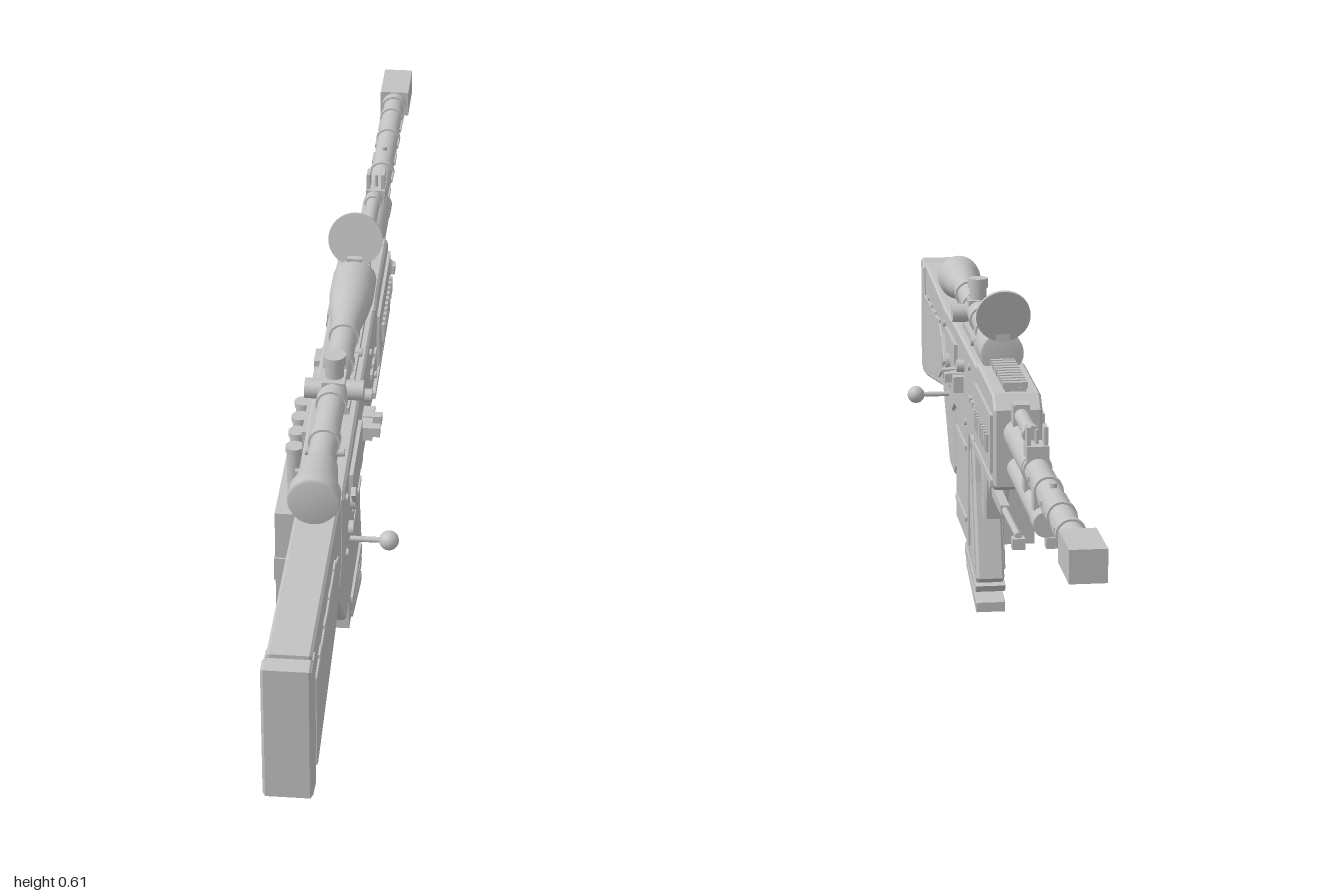
import * as THREE from 'three';

const metal = new THREE.MeshStandardMaterial({ color: 0xc2c2c2 });
metal.name = 'plain grey';

export function createModel() {
  const root = new THREE.Group();
  root.name = 'scopedRifle';
  const gun = new THREE.Group();
  gun.name = 'rifle';
  gun.position.x = -0.0125;
  root.add(gun);

  const add = (name, geo, x = 0, y = 0, z = 0) => {
    const m = new THREE.Mesh(geo, metal);
    m.name = name;
    m.position.set(x, y, z);
    gun.add(m);
    return m;
  };
  // box given by its centre x, width and its y and z ranges
  const box = (name, x, w, y0, y1, z0, z1) =>
    add(name, new THREE.BoxGeometry(w, y1 - y0, Math.abs(z1 - z0)), x, (y0 + y1) / 2, (z0 + z1) / 2);
  // side outline of [z, y] points, extruded across x
  const slab = (name, pts, w, x = 0, bevel = 0.004) => {
    const shape = new THREE.Shape(pts.map(([z, y]) => new THREE.Vector2(z, y)));
    const geo = new THREE.ExtrudeGeometry(shape, {
      depth: w - 2 * bevel, bevelEnabled: bevel > 0, bevelSize: bevel, bevelOffset: -bevel,
      bevelThickness: bevel, bevelSegments: 1,
    });
    geo.translate(0, 0, -(w - 2 * bevel) / 2);
    geo.rotateY(-Math.PI / 2);
    return add(name, geo, x);
  };
  // cylinders along each axis
  const rodZ = (name, x, y, z0, z1, r, r2 = r, n = 20) =>
    add(name, new THREE.CylinderGeometry(r, r2, Math.abs(z1 - z0), n).rotateX(Math.PI / 2), x, y, (z0 + z1) / 2);
  const rodX = (name, x0, x1, y, z, r, n = 16) =>
    add(name, new THREE.CylinderGeometry(r, r, Math.abs(x1 - x0), n).rotateZ(Math.PI / 2), (x0 + x1) / 2, y, z);
  const rodY = (name, x, y0, y1, z, r, n = 16) =>
    add(name, new THREE.CylinderGeometry(r, r, y1 - y0, n), x, (y0 + y1) / 2, z);

  // stock and butt pad
  slab('stock', [[0.96, 0.46], [0.9, 0.458], [0.6, 0.447], [0.53, 0.44], [0.53, 0.30], [0.58, 0.29],
    [0.66, 0.28], [0.95, 0.232], [0.965, 0.24]], 0.064);
  slab('buttPad', [[0.975, 0.465], [1, 0.462], [1, 0.245], [0.955, 0.236], [0.955, 0.45]], 0.071);
  box('buttPlate', 0, 0.068, 0.25, 0.453, 0.94, 0.957);
  for (const s of [-1, 1]) {
    slab('stockPanel', [[0.93, 0.40], [0.66, 0.405], [0.60, 0.38], [0.60, 0.32], [0.66, 0.295], [0.93, 0.25]],
      0.006, s * 0.0325, 0.001);
    for (let i = 0; i < 4; i++) box('stockNotch', s * 0.032, 0.006, 0.402, 0.408, 0.65 + i * 0.07, 0.675 + i * 0.07);
  }

  // receiver, lower frame and handguard
  slab('receiver', [[0.54, 0.44], [0.525, 0.455], [0.33, 0.462], [-0.02, 0.462], [-0.02, 0.315],
    [0.36, 0.312], [0.40, 0.29], [0.54, 0.305]], 0.074);
  slab('lowerFrame', [[0.6, 0.30], [0.575, 0.27], [0.485, 0.182], [0.475, 0.175], [0.40, 0.172],
    [0.38, 0.19], [0.38, 0.33], [0.54, 0.33]], 0.066);
  box('frameFoot', 0, 0.04, 0.16, 0.176, 0.41, 0.465);
  slab('handguard', [[0, 0.462], [-0.03, 0.476], [-0.235, 0.472], [-0.26, 0.45], [-0.26, 0.325],
    [-0.24, 0.315], [0, 0.315]], 0.078);
  box('upperCover', 0, 0.05, 0.455, 0.474, 0.0, 0.33);
  for (const s of [-1, 1]) {
    box('handguardPanel', s * 0.04, 0.008, 0.345, 0.44, -0.25, -0.02);
    box('lowerRail', s * 0.038, 0.01, 0.322, 0.334, -0.25, 0.05);
    for (let i = 0; i < 10; i++) box('ventRib', s * 0.044, 0.01, 0.374, 0.404, -0.055 - i * 0.018, -0.065 - i * 0.018);
    for (const z of [0.0, 0.035, 0.07]) box('slotPlate', s * 0.038, 0.006, 0.385, 0.393, z, z + 0.022);
    for (const [z, y] of [[0.515, 0.43], [0.515, 0.33], [0.41, 0.34], [0.1, 0.44], [0.16, 0.33], [-0.0, 0.34]])
      rodX('pin', s * 0.034, s * 0.041, y, z, 0.006, 10);
  }
  // right-of-picture controls on the left (+x) side
  rodX('selectorHub', 0.035, 0.046, 0.375, 0.435, 0.016);
  slab('selectorLever', [[0.47, 0.42], [0.48, 0.41], [0.44, 0.368], [0.425, 0.378]], 0.008, 0.045, 0.001);
  rodX('button', 0.035, 0.045, 0.345, 0.47, 0.012);
  box('boltCover', 0.038, 0.01, 0.40, 0.435, 0.3, 0.46);
  rodX('boltKnob', 0.035, 0.05, 0.42, 0.2, 0.011);
  box('releaseBlock', 0.045, 0.02, 0.372, 0.4, 0.2, 0.26);
  for (const z of [0.23, 0.265]) box('releaseTab', 0.052, 0.032, 0.386, 0.402, z - 0.01, z + 0.006);
  rodX('chargingRod', 0.03, 0.085, 0.312, 0.45, 0.0045, 12);
  add('chargingKnob', new THREE.SphereGeometry(0.0155, 20, 14), 0.0975, 0.312, 0.45);

  // ammunition box and its strap
  box('ammoBox', -0.0285, 0.117, 0.098, 0.311, 0.19, 0.39);
  box('ammoBoxStrap', -0.06, 0.058, 0.188, 0.228, 0.188, 0.393);
  for (const y of [0.14, 0.27]) box('ammoBoxRib', 0.031, 0.006, y - 0.004, y + 0.004, 0.21, 0.37);

  // spare cartridges on the other side
  box('cartridgeHolder', -0.045, 0.024, 0.335, 0.375, 0.19, 0.365);
  for (let i = 0; i < 4; i++) {
    const z = 0.21 + i * 0.045;
    rodY('cartridge', -0.059, 0.325, 0.4, z, 0.0125);
    rodY('cartridgeCap', -0.059, 0.4, 0.41, z, 0.0145);
  }
  box('sideCover', -0.04, 0.012, 0.385, 0.445, 0.16, 0.36);
  box('coverLatch', -0.046, 0.016, 0.395, 0.42, 0.06, 0.1);

  // flared magazine with foot
  slab('magazine', [[0.29, 0.315], [0.185, 0.315], [0.165, 0.22], [0.11, 0.06], [0.13, 0.045],
    [0.28, 0.07], [0.30, 0.1]], 0.048);
  slab('magazineRidge', [[0.225, 0.3], [0.195, 0.3], [0.175, 0.21], [0.13, 0.07], [0.17, 0.07]], 0.056, 0, 0.002);
  slab('magazineBase', [[0.29, 0.075], [0.11, 0.047], [0.12, 0.034], [0.285, 0.055]], 0.052, 0, 0.001);
  slab('magazineFoot', [[0.285, 0.052], [0.11, 0.017], [0.11, 0.002], [0.15, 0.005], [0.27, 0.035]], 0.05, 0, 0.001);
  slab('footTab', [[0.29, 0.05], [0.275, 0.05], [0.265, 0.02], [0.28, 0.02]], 0.022, 0, 0.001);
  slab('footToe', [[0.2, 0.02], [0.11, 0.015], [0.11, 0], [0.125, 0]], 0.05, 0, 0);

  // foregrip
  slab('foregrip', [[0.085, 0.315], [0.02, 0.315], [0.026, 0.235], [0.032, 0.19], [0.07, 0.19], [0.076, 0.235]], 0.042);
  box('foregripCollar', 0, 0.05, 0.295, 0.318, 0.012, 0.092);

  // barrel, gas tubes and muzzle
  rodZ('barrel', 0, 0.412, -0.25, -0.9, 0.0195);
  rodZ('barrelSleeve', 0, 0.412, -0.25, -0.48, 0.024);
  for (const z of [-0.48, -0.6, -0.74, -0.83]) rodZ('barrelRing', 0, 0.412, z, z - 0.012, 0.0225);
  box('muzzleBrake', 0, 0.053, 0.389, 0.437, -0.897, -1);
  rodZ('muzzleCollar', 0, 0.412, -0.88, -0.9, 0.023);
  rodZ('gasTube', 0, 0.355, -0.25, -0.56, 0.0185);
  rodZ('gasTubeCap', 0, 0.355, -0.55, -0.59, 0.02);
  rodZ('cleaningRod', 0, 0.384, -0.25, -0.83, 0.01, 0.01, 12);
  for (const z of [-0.42, -0.53]) box('gasBlock', 0, 0.03, 0.355, 0.41, z, z - 0.03);
  for (const s of [-1, 1])
    for (let i = 0; i < 5; i++) box('barrelSlot', s * 0.0185, 0.006, 0.409, 0.416, -0.5 - i * 0.07, -0.54 - i * 0.07);
  for (const z of [-0.66, -0.44]) rodY('barrelPin', 0, 0.42, 0.438, z, 0.005, 10);
  rodZ('upperTube', 0, 0.45, -0.23, -0.41, 0.012, 0.012, 14);
  rodZ('upperTubeTip', 0, 0.45, -0.405, -0.425, 0.015, 0.015, 14);
  box('upperTubeClamp', 0, 0.026, 0.43, 0.468, -0.27, -0.3);

  // front sight
  box('sightBase', 0, 0.034, 0.425, 0.45, -0.455, -0.495);
  for (const s of [-1, 1]) box('sightEar', s * 0.013, 0.006, 0.445, 0.478, -0.462, -0.488);
  rodY('sightPost', 0, 0.445, 0.472, -0.475, 0.003, 8);

  // folded bipod
  box('bipodMount', 0, 0.05, 0.298, 0.322, -0.13, -0.18);
  for (const s of [-1, 1]) {
    const leg = rodZ('bipodLeg', s * 0.026, 0.298, -0.135, -0.465, 0.0055, 0.0055, 10);
    leg.rotation.x = 0.03;
    box('bipodSleeve', s * 0.026, 0.014, 0.29, 0.306, -0.18, -0.3);
    box('bipodFoot', s * 0.026, 0.02, 0.283, 0.3, -0.452, -0.472);
  }
  rodX('bipodPivot', -0.034, 0.034, 0.3, -0.15, 0.01, 12);

  // toothed top rail
  box('topRail', 0, 0.034, 0.468, 0.479, -0.04, -0.225);
  for (let i = 0; i < 10; i++) box('railTooth', 0, 0.04, 0.477, 0.487, -0.047 - i * 0.0185, -0.058 - i * 0.0185);

  // scope: one turned body with mounts and turrets
  const profile = [[0.635, 0], [0.635, 0.036], [0.628, 0.039], [0.605, 0.039], [0.598, 0.034], [0.535, 0.027],
    [0.52, 0.021], [0.13, 0.021], [0.06, 0.032], [0.02, 0.036], [-0.046, 0.036], [-0.05, 0.033], [-0.05, 0]];
  const scopeGeo = new THREE.LatheGeometry(profile.map(([z, r]) => new THREE.Vector2(r, z)).reverse(), 32);
  add('scopeBody', scopeGeo.rotateX(Math.PI / 2), 0, 0.495, 0);
  for (const z of [0.47, 0.36, 0.24, 0.15]) rodZ('scopeRing', 0, 0.495, z, z - 0.02, 0.0245);
  for (const z of [0.46, 0.16]) {
    box('scopeMount', 0, 0.036, 0.455, 0.485, z - 0.03, z + 0.02);
    rodX('mountScrew', -0.03, 0.03, 0.472, z - 0.005, 0.007, 10);
  }
  box('turretHousing', 0, 0.036, 0.478, 0.517, 0.285, 0.33);
  rodY('elevationTurret', 0, 0.51, 0.545, 0.305, 0.015, 20);
  rodY('elevationCap', 0, 0.538, 0.554, 0.305, 0.018, 20);
  rodX('windageTurret', -0.046, 0.046, 0.492, 0.305, 0.016, 20);

  // flipped-up lens cover
  const cover = rodZ('lensCover', 0, 0.561, -0.058, -0.064, 0.045, 0.045, 32);
  cover.rotation.x = -0.25;
  box('coverHinge', 0, 0.024, 0.518, 0.535, -0.04, -0.056);

  return root;
}
